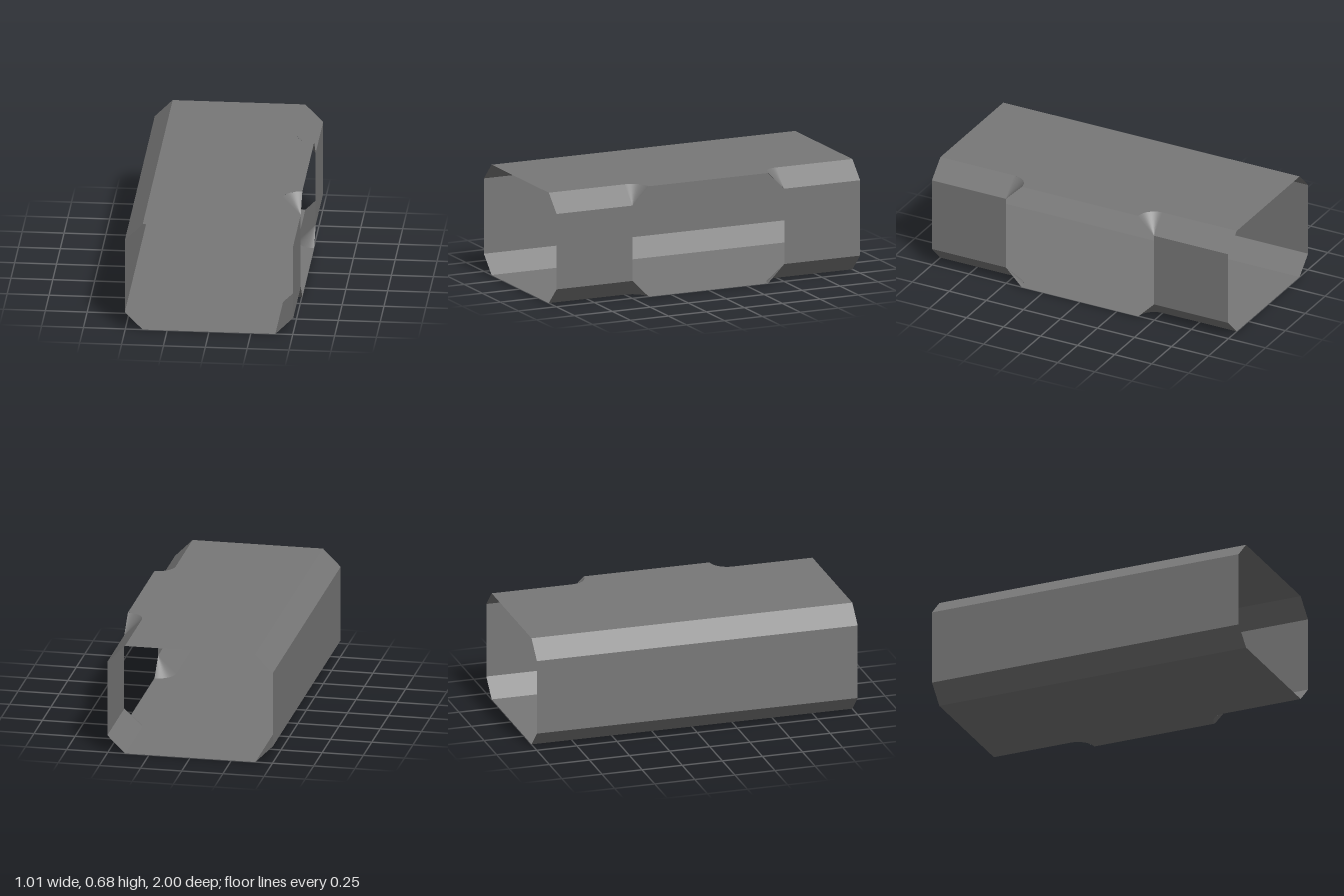
import * as THREE from 'three';

const W = 0.503;      // half width
const H = 0.675;      // height
const C = 0.107;      // chamfer size
const L = 1;          // half length
const D = 0.5;        // half width of the side opening

export function createModel() {
  const group = new THREE.Group();
  const gray = new THREE.MeshStandardMaterial({ color: 0x787878, side: THREE.DoubleSide });
  gray.name = 'gray panel';

  const add = (name, geometry) => {
    const mesh = new THREE.Mesh(geometry, gray);
    mesh.name = name;
    group.add(mesh);
    return mesh;
  };

  // Flat panel running along z between two points of the cross-section
  const strip = (name, [xa, ya], [xb, yb], z0, z1) => {
    const g = new THREE.BufferGeometry();
    g.setAttribute('position', new THREE.Float32BufferAttribute(
      [xa, ya, z1, xa, ya, z0, xb, yb, z0, xb, yb, z1], 3));
    g.setIndex([0, 1, 2, 0, 2, 3]);
    g.computeVertexNormals();
    add(name, g);
  };

  // Floor and ceiling plates, widened at the side opening with rounded corners
  const plate = new THREE.Shape();
  plate.moveTo(-W + C, -L);
  plate.lineTo(W - C, -L);
  plate.lineTo(W - C, -D);
  plate.absarc(W, -D, C, Math.PI, Math.PI / 2, true);
  plate.lineTo(W, D - C);
  plate.absarc(W, D, C, Math.PI * 1.5, Math.PI, true);
  plate.lineTo(W - C, L);
  plate.lineTo(-W + C, L);
  const plateGeometry = new THREE.ShapeGeometry(plate, 12);
  const ceiling = add('ceiling', plateGeometry);
  ceiling.rotation.x = -Math.PI / 2;
  ceiling.position.y = H;
  const floor = add('floor', plateGeometry);
  floor.rotation.x = Math.PI / 2;

  // Closed side: two chamfers and a wall over the full length
  strip('rightLowerChamfer', [-W + C, 0], [-W, C], -L, L);
  strip('rightWall', [-W, C], [-W, H - C], -L, L);
  strip('rightUpperChamfer', [-W, H - C], [-W + C, H], -L, L);

  // Open side: wall, chamfers and cone corners in front of and behind the opening
  for (const s of [1, -1]) {
    const end = s > 0 ? 'Front' : 'Back';
    const z0 = s > 0 ? D : -L;
    const z1 = s > 0 ? L : -D;
    strip(`left${end}UpperChamfer`, [W - C, H], [W, H - C], z0, z1);
    strip(`left${end}Wall`, [W, H - C], [W, C], z0, z1);
    strip(`left${end}LowerChamfer`, [W, C], [W - C, 0], z0, z1);

    const start = s > 0 ? Math.PI : Math.PI * 1.5;
    const upper = add(`upper${end}Corner`,
      new THREE.CylinderGeometry(C, 0, C, 12, 1, true, start, Math.PI / 2));
    upper.position.set(W, H - C / 2, s * D);
    const lower = add(`lower${end}Corner`,
      new THREE.CylinderGeometry(0, C, C, 12, 1, true, start, Math.PI / 2));
    lower.position.set(W, C / 2, s * D);
  }

  return group;
}
